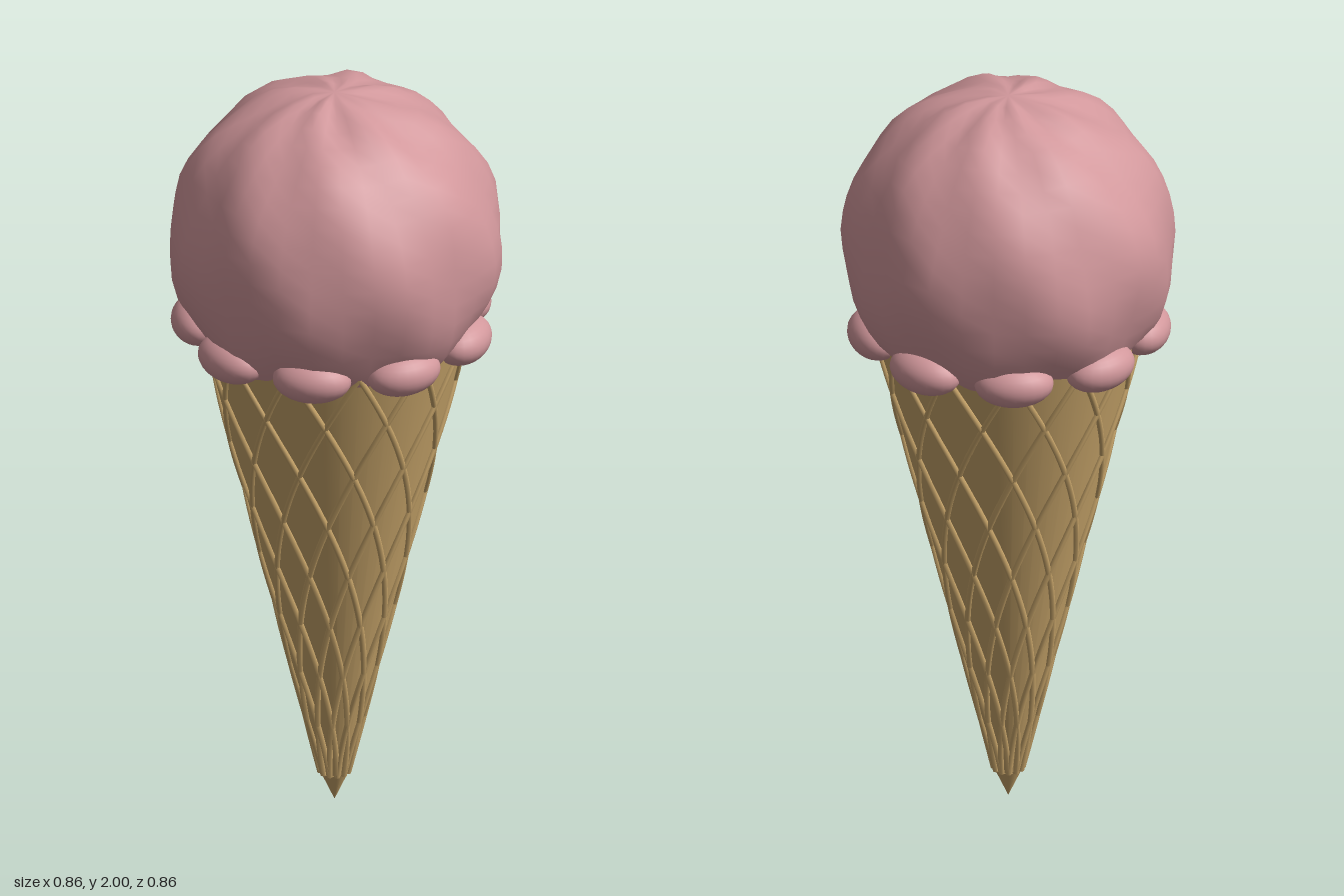
import * as THREE from 'three';
import { mergeVertices } from 'three/addons/utils/BufferGeometryUtils.js';

const pink = new THREE.MeshStandardMaterial({ color: 0xd1979b });
pink.name = 'strawberry pink';
const wafer = new THREE.MeshStandardMaterial({ color: 0xc9a66b });
wafer.name = 'wafer tan';

const BOTTOM = 0.08, RIM = 1.36, R_BOTTOM = 0.034, R_RIM = 0.34;
const coneRadius = (t) => R_BOTTOM + (R_RIM - R_BOTTOM) * t;

function add(parent, name, geometry, material) {
  const mesh = new THREE.Mesh(geometry, material);
  mesh.name = name;
  parent.add(mesh);
  return mesh;
}

// Sphere with shallow spiral furrows that meet at the pole
function scoopGeometry() {
  let geo = new THREE.SphereGeometry(1, 32, 24);
  geo.deleteAttribute('uv');
  geo.deleteAttribute('normal');
  geo = mergeVertices(geo, 1e-4);
  const p = geo.attributes.position;
  const v = new THREE.Vector3();
  for (let i = 0; i < p.count; i++) {
    v.fromBufferAttribute(p, i);
    const a = Math.atan2(v.z, v.x);
    const polar = Math.acos(THREE.MathUtils.clamp(v.y, -1, 1));
    const fade = Math.min(1, Math.sin(polar) * 3);
    const furrow = 0.007 * Math.sin(8 * a + 5 * polar) + 0.005 * Math.sin(5 * a - 7 * polar + 1);
    const r = 0.421 + fade * furrow;
    p.setXYZ(i, v.x * r, v.y * r * 0.98, v.z * r);
  }
  geo.computeVertexNormals();
  return geo;
}

// Raised rib winding up the cone wall
function ribGeometry(start, turn) {
  const points = [];
  for (let i = 0; i <= 24; i++) {
    const t = i / 24;
    const a = start + turn * t;
    const r = coneRadius(t) + 0.002;
    points.push(new THREE.Vector3(r * Math.cos(a), BOTTOM + (RIM - BOTTOM) * t, r * Math.sin(a)));
  }
  return new THREE.TubeGeometry(new THREE.CatmullRomCurve3(points), 48, 0.008, 6, false);
}

export function createModel() {
  const model = new THREE.Group();
  model.name = 'iceCreamCone';

  // Wafer cone and pointed tip
  const height = RIM - BOTTOM;
  add(model, 'cone', new THREE.CylinderGeometry(R_RIM, R_BOTTOM, height, 48), wafer)
    .position.y = BOTTOM + height / 2;
  const tip = add(model, 'coneTip', new THREE.ConeGeometry(0.036, BOTTOM, 24), wafer);
  tip.rotation.x = Math.PI;
  tip.position.y = BOTTOM / 2;

  // Crossing waffle ribs
  const ribs = new THREE.Group();
  ribs.name = 'waffleRibs';
  model.add(ribs);
  const RIBS = 12;
  for (let i = 0; i < RIBS; i++) {
    const a = (i / RIBS) * Math.PI * 2;
    for (const side of [1, -1]) {
      add(ribs, 'waffleRib', ribGeometry(a, side * Math.PI * 2 / 3), wafer);
    }
  }

  // Scoop
  add(model, 'scoop', scoopGeometry(), pink).position.y = 1.587;

  // Ring of soft drips around the rim
  const drips = new THREE.Group();
  drips.name = 'drips';
  model.add(drips);
  const dripGeo = new THREE.SphereGeometry(1, 24, 16);
  for (let i = 0; i < 9; i++) {
    const a = (i / 9) * Math.PI * 2;
    const drip = add(drips, 'drip', dripGeo, pink);
    drip.scale.set(0.07, 0.058, 0.1);
    drip.position.set(0.342 * Math.cos(a), 1.36, 0.342 * Math.sin(a));
    drip.rotation.y = -a;
  }
  return model;
}
